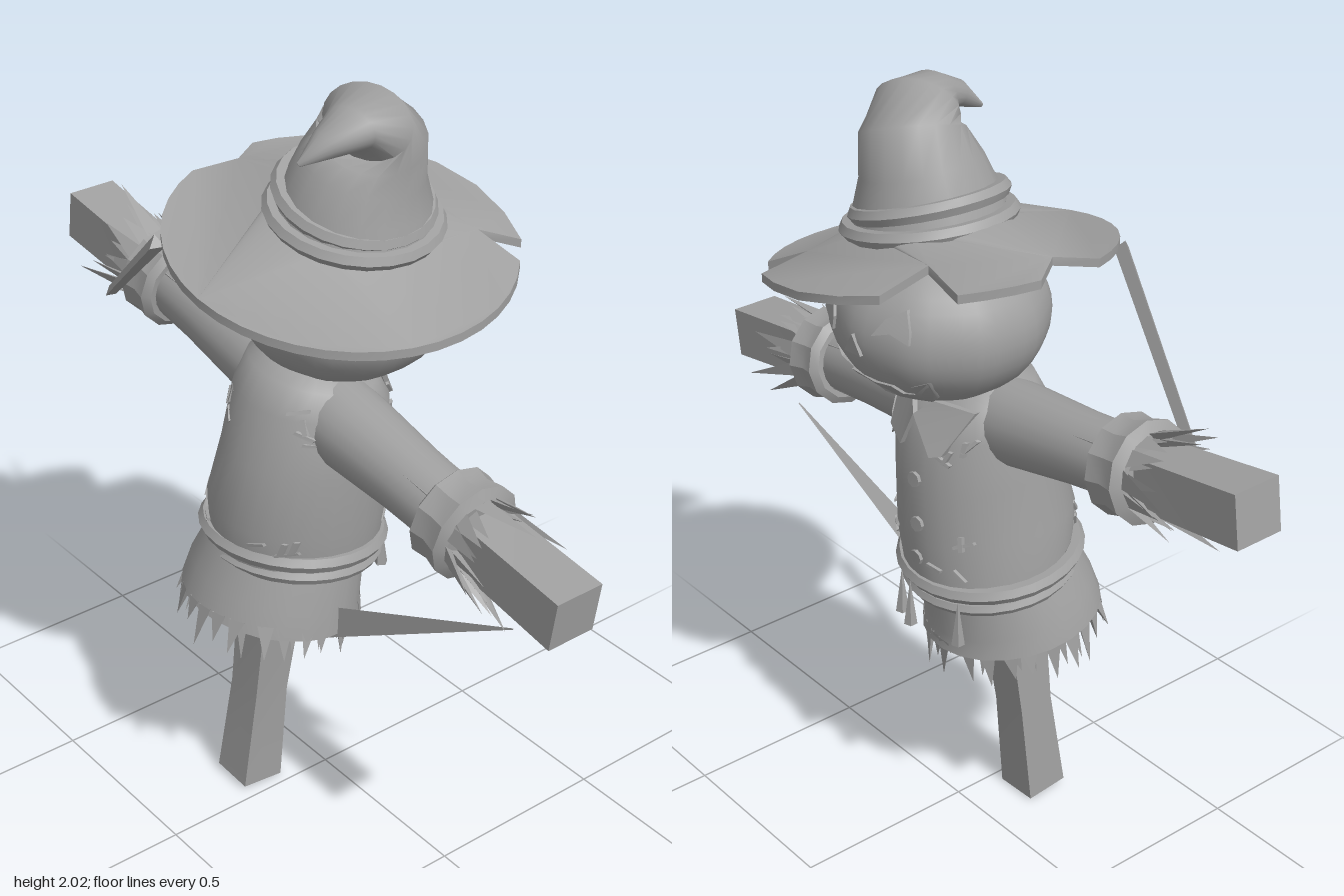
import * as THREE from 'three';
import { toCreasedNormals } from 'three/addons/utils/BufferGeometryUtils.js';

const grey = new THREE.MeshStandardMaterial({ color: 0xa0a0a0, side: THREE.DoubleSide });
grey.name = 'plain grey';

let seed = 7;
const rand = () => (seed = (seed * 16807) % 2147483647) / 2147483647;

function add(parent, name, geometry, crease = 0.7) {
  const mesh = new THREE.Mesh(toCreasedNormals(geometry, crease), grey);
  mesh.name = name;
  parent.add(mesh);
  return mesh;
}

// Skin over rings [x, y, z, rx, rz] set square to the path through their centres
function loft(rings, { sides = 20, caps = true, phase = 0 } = {}) {
  const centres = rings.map(r => new THREE.Vector3(r[0], r[1], r[2]));
  const pos = [], index = [], last = rings.length - 1;
  rings.forEach((r, i) => {
    const t = centres[Math.min(i + 1, last)].clone().sub(centres[Math.max(i - 1, 0)]).normalize();
    const w = new THREE.Vector3(0, 0, 1).addScaledVector(t, -t.z).normalize();
    const u = t.clone().cross(w);
    for (let j = 0; j < sides; j++) {
      const a = phase + j / sides * Math.PI * 2;
      const p = centres[i].clone().addScaledVector(u, r[3] * Math.cos(a)).addScaledVector(w, r[4] * Math.sin(a));
      pos.push(p.x, p.y, p.z);
      const k = (j + 1) % sides, b = i * sides;
      if (i < last) index.push(b + j, b + sides + j, b + k, b + k, b + sides + j, b + sides + k);
    }
  });
  if (caps) {
    const c = rings.length * sides, top = last * sides;
    pos.push(...centres[0].toArray(), ...centres[last].toArray());
    for (let j = 0; j < sides; j++) {
      const k = (j + 1) % sides;
      index.push(c, j, k, c + 1, top + k, top + j);
    }
  }
  const g = new THREE.BufferGeometry();
  g.setAttribute('position', new THREE.Float32BufferAttribute(pos, 3));
  g.setIndex(index);
  return g;
}

// Ring of ragged straw spikes pointing along +y
function fringe(n, r0, r1, length, width) {
  const pos = [];
  for (let i = 0; i < n; i++) {
    const a = (i + rand() * 0.6) / n * Math.PI * 2, l = length * (0.5 + 0.5 * rand());
    const at = (r, ang, y) => [r * Math.cos(ang), y, r * Math.sin(ang)];
    const p = at(r0, a - width, 0), q = at(r0, a + width, 0), s = at(r0 - 0.025, a, 0);
    const tip = at(r0 + (r1 - r0) * rand(), a + (rand() - 0.5) * width * 2, l);
    pos.push(...p, ...tip, ...q, ...q, ...tip, ...s, ...s, ...tip, ...p);
  }
  const g = new THREE.BufferGeometry();
  g.setAttribute('position', new THREE.Float32BufferAttribute(pos, 3));
  return g;
}

// Thin plate with outline in [z, y], laid on a surface x = f(z, y)
function plate(points, f, side = 1, depth = 0.009) {
  const shape = new THREE.Shape(points.map(p => new THREE.Vector2(...p)));
  const g = new THREE.ExtrudeGeometry(shape, { depth, bevelEnabled: false });
  const p = g.attributes.position;
  for (let i = 0; i < p.count; i++) {
    const z = p.getX(i), y = p.getY(i);
    p.setXYZ(i, f(z, y, side) + side * p.getZ(i), y, z);
  }
  return g;
}

const torso = [
  [-0.07, 0.77, -0.035, 0.22, 0.21], [-0.075, 0.9, -0.02, 0.235, 0.215], [-0.06, 1.05, -0.005, 0.215, 0.2],
  [-0.045, 1.2, 0, 0.19, 0.2], [-0.04, 1.27, 0, 0.155, 0.17], [-0.03, 1.31, 0.01, 0.09, 0.1],
];

function torsoX(z, y, side) {
  let i = 0;
  while (i < torso.length - 2 && y > torso[i + 1][1]) i++;
  const k = (y - torso[i][1]) / (torso[i + 1][1] - torso[i][1]);
  const [cx, , cz, rx, rz] = torso[i].map((v, n) => THREE.MathUtils.lerp(v, torso[i + 1][n], k));
  return cx + side * rx * Math.sqrt(Math.max(0.02, 1 - ((z - cz) / rz) ** 2));
}

const headX = (z, y) =>
  0.018 + 0.27 * Math.sqrt(Math.max(0.02, 1 - ((z - 0.045) / 0.275) ** 2 - ((y - 1.47) / 0.21) ** 2));

function buildHead(model) {
  const head = new THREE.Group();
  head.name = 'pumpkinHead';
  const g = new THREE.SphereGeometry(1, 40, 20), p = g.attributes.position;
  for (let i = 0; i < p.count; i++) {
    const x = p.getX(i), y = p.getY(i), z = p.getZ(i);
    const rib = 0.99 + 0.01 * Math.cos(10 * Math.atan2(z, x));
    p.setXYZ(i, 0.02 + 0.27 * x * rib, 1.47 + 0.21 * y, 0.045 + 0.275 * z * rib);
  }
  add(head, 'pumpkin', g, 1.2);
  const features = {
    leftEye: [[0.215, 1.48], [0.195, 1.53], [0.165, 1.548], [0.12, 1.5], [0.125, 1.465], [0.17, 1.49]],
    rightEye: [[-0.025, 1.505], [-0.05, 1.55], [-0.085, 1.575], [-0.11, 1.53], [-0.115, 1.5], [-0.07, 1.52]],
    nose: [[0.07, 1.435], [0.035, 1.49], [0.008, 1.44]],
    mouth: [[0.22, 1.4], [0.15, 1.37], [0.14, 1.34], [0.1, 1.34], [0.09, 1.365], [0, 1.365], [-0.05, 1.37],
      [-0.06, 1.345], [-0.09, 1.35], [-0.1, 1.38], [-0.14, 1.4], [-0.12, 1.34], [-0.07, 1.3], [-0.02, 1.29],
      [-0.02, 1.315], [0.03, 1.31], [0.03, 1.285], [0.1, 1.29], [0.17, 1.32]],
  };
  for (const name in features) add(head, name, plate(features[name], headX));
  model.add(head);
}

function buildHat(model) {
  const hat = new THREE.Group();
  hat.name = 'hat';
  // Crown with drooping tip
  add(hat, 'crown', loft([
    [0.01, 1.64, 0.09, 0.205, 0.205], [0.015, 1.74, 0.1, 0.18, 0.18], [0.02, 1.82, 0.115, 0.15, 0.155],
    [0.025, 1.9, 0.14, 0.125, 0.135], [-0.01, 1.945, 0.165, 0.085, 0.115], [-0.08, 1.955, 0.19, 0.05, 0.075],
    [-0.15, 1.935, 0.19, 0.033, 0.045], [-0.21, 1.895, 0.17, 0.006, 0.006]]), 1);
  for (const [y, r, tilt] of [[1.69, 0.198, 0.2], [1.735, 0.178, 0.3]]) {
    const band = add(hat, 'hatBand', new THREE.TorusGeometry(r, 0.022, 6, 24));
    band.position.set(0.012, y, 0.095);
    band.rotation.x = tilt - Math.PI / 2;
  }
  // Torn brim: an arc, a nick at the back and a loose flap at the face
  const outline = [];
  for (let d = 43; d <= 304; d += 9) {
    const a = d * Math.PI / 180;
    const nick = d > 258 && d < 270;
    outline.push(nick ? new THREE.Vector2(-0.04, -0.29)
      : new THREE.Vector2(0.425 * Math.cos(a), 0.06 + 0.42 * Math.sin(a)));
  }
  for (const q of [[0.21, -0.15], [0.35, -0.15], [0.4, -0.06], [0.425, 0.06], [0.41, 0.18], [0.375, 0.28], [0.27, 0.24]])
    outline.push(new THREE.Vector2(...q));
  const shape = new THREE.Shape(outline);
  shape.holes.push(new THREE.Path().absarc(0.01, 0.09, 0.18, 0, Math.PI * 2, true));
  const g = new THREE.ExtrudeGeometry(shape, { depth: 0.022, bevelEnabled: false, curveSegments: 24 });
  const p = g.attributes.position;
  for (let i = 0; i < p.count; i++) {
    const x = p.getX(i), z = p.getY(i), r = Math.hypot(x, z - 0.06);
    const y = 1.595 + 0.04 * x - 0.2 * (z - 0.05) + 0.08 * (1 - (r - 0.19) / 0.23);
    p.setXYZ(i, x, y + p.getZ(i), z);
  }
  g.scale(1, 1, 1);
  add(hat, 'brim', g.index ? g.toNonIndexed() : g);
  model.add(hat);
}

function buildArm(model, name, turn) {
  const arm = new THREE.Group();
  arm.name = name;
  arm.position.set(-0.055, 1.19, 0);
  arm.rotation.x = turn;
  const straight = rows => rows.map(([y, r]) => [0, y, 0, r, r]);
  add(arm, 'sleeve', loft(straight([[0.05, 0.11], [0.2, 0.105], [0.4, 0.092], [0.56, 0.088]])));
  add(arm, 'cuff', loft(straight([[0.53, 0.105], [0.545, 0.125], [0.585, 0.118], [0.63, 0.128], [0.645, 0.1]]), { sides: 12 }), 0.5);
  for (const [n, r0, r1, l] of [[13, 0.1, 0.16, 0.2], [11, 0.085, 0.12, 0.17]])
    add(arm, 'straw', fringe(n, r0, r1, l, 0.24), 0).position.y = 0.635;
  add(arm, 'beam', loft(straight([[0, 0.09], [0.7, 0.09], [0.97, 0.095]]), { sides: 4, phase: Math.PI / 4 }), 0.5);
  model.add(arm);
}

function buildBody(model) {
  const body = new THREE.Group();
  body.name = 'body';
  add(body, 'shirt', loft(torso, { sides: 28 }), 1);
  add(body, 'skirt', loft([[-0.13, 0.6, -0.06, 0.235, 0.24], [-0.12, 0.66, -0.055, 0.222, 0.23],
    [-0.08, 0.79, -0.04, 0.2, 0.195]], { sides: 24, caps: false }), 1);
  for (const [n, r0] of [[26, 0.232], [18, 0.2]]) {
    const straw = add(body, 'skirtStraw', fringe(n, r0, r0 + 0.02, 0.12, 0.09), 0);
    straw.position.set(-0.13, 0.62, -0.06);
    straw.rotation.set(Math.PI, 0, 0.15);
  }
  // Belt cord and the rolled shirt hem
  for (const [y, r, tube] of [[0.755, 0.212, 0.018], [0.8, 0.222, 0.022]]) {
    const belt = add(body, 'belt', new THREE.TorusGeometry(r, tube, 6, 28), 1);
    belt.position.set(-0.075, y, -0.037);
    belt.rotation.set(-Math.PI / 2, 0.12, 0);
  }
  for (const z of [0.06, 0.0, -0.15]) {
    const tassel = add(body, 'tassel', new THREE.ConeGeometry(0.018, 0.13, 5), 0.5);
    tassel.position.set(torsoX(z, 0.78, 1) + 0.01, 0.7, z);
  }
  // Collar, buttons and stitches
  const collar = [[[0.12, 1.27], [0.1, 1.17], [0.03, 1.15], [0, 1.24], [0.04, 1.28]],
    [[-0.14, 1.27], [-0.1, 1.16], [-0.07, 1.15], [0, 1.24], [-0.04, 1.28]]];
  collar.forEach(c => add(body, 'collar', plate(c, torsoX, 1, 0.015)));
  for (const [z, y] of [[-0.02, 1.07], [-0.035, 0.95], [-0.03, 0.85]]) {
    const ring = Array.from({ length: 8 }, (_, i) => [z + 0.02 * Math.cos(i * Math.PI / 4), y + 0.02 * Math.sin(i * Math.PI / 4)]);
    add(body, 'button', plate(ring, torsoX));
  }
  for (const side of [1, -1]) for (let i = 0; i < 16; i++) {
    const z = (i % 2 ? 1 : -1) * (0.08 + 0.09 * rand()), y = (i % 4 < 2 ? 0.83 : 1.13) + 0.1 * rand(), a = rand() * 3;
    const c = Math.cos(a), s = Math.sin(a);
    const corners = [[-0.02, -0.004], [0.02, -0.004], [0.02, 0.004], [-0.02, 0.004]].map(([u, v]) => [z + u * c - v * s, y + u * s + v * c]);
    add(body, 'stitch', plate(corners, torsoX, side));
  }
  model.add(body);
}

export function createModel() {
  const model = new THREE.Group();
  model.name = 'scarecrow';
  add(model, 'post', loft([[-0.19, 0.015, -0.092, 0.085, 0.085], [-0.16, 0.3, -0.08, 0.072, 0.076],
    [-0.135, 0.58, -0.06, 0.085, 0.085], [-0.09, 1, -0.03, 0.085, 0.085]], { sides: 4, phase: Math.PI / 4 }), 0.5);
  buildBody(model);
  buildArm(model, 'leftArm', 1.72);
  buildArm(model, 'rightArm', 1.72 - Math.PI);
  buildHead(model);
  buildHat(model);
  // Long loose straws, one from the brim and one from the skirt
  add(model, 'brimStraw', loft([[-0.355, 1.61, -0.19, 0.022, 0.022], [-0.17, 1.22, -0.7, 0.016, 0.016]], { sides: 3 }), 0);
  add(model, 'skirtLongStraw', loft([[-0.08, 0.57, 0.1, 0.04, 0.05], [-0.04, 0.89, 0.75, 0.002, 0.002]], { sides: 3 }), 0);
  return model;
}
